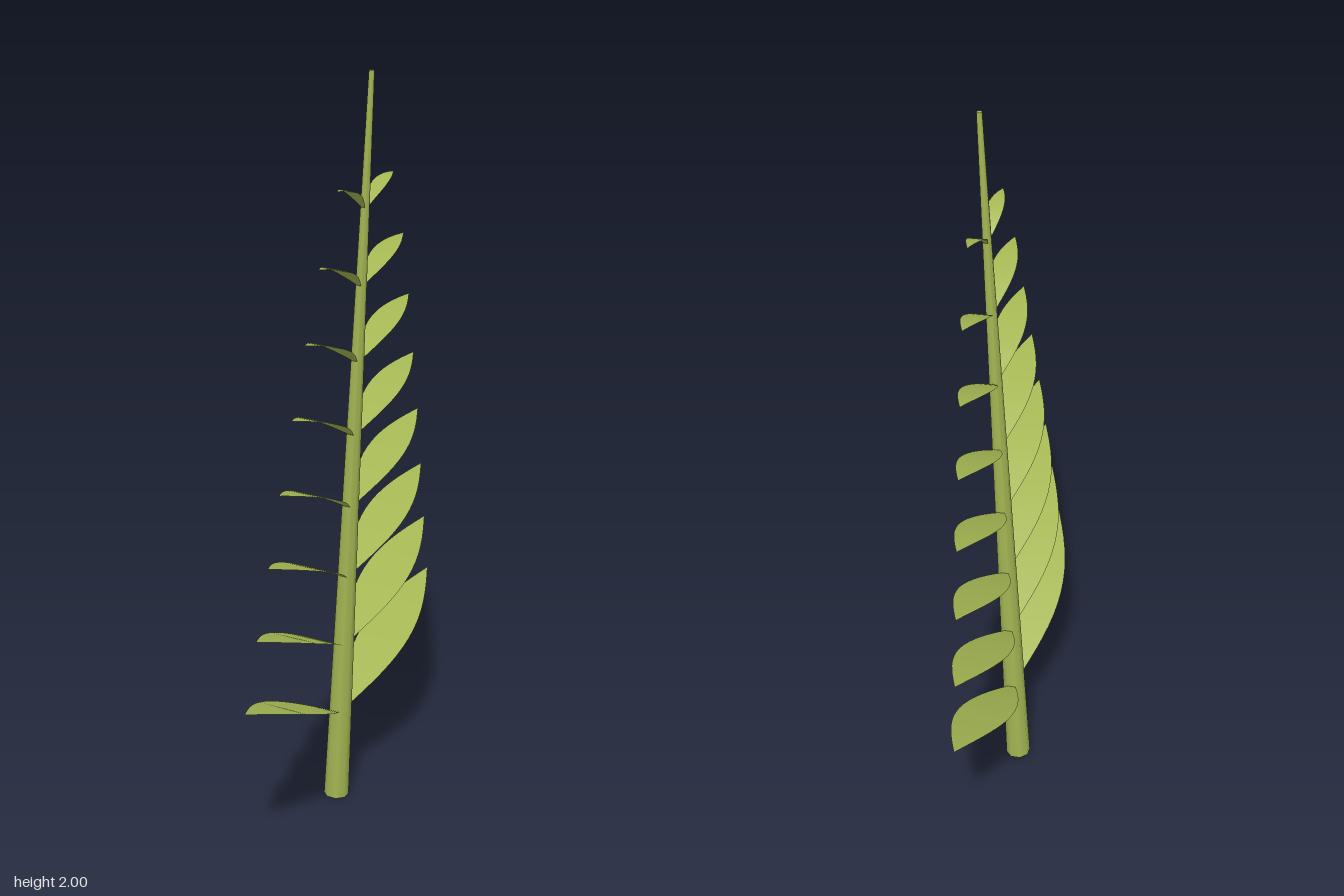
import * as THREE from 'three';

const green = new THREE.MeshStandardMaterial({ color: 0xa3b552, side: THREE.DoubleSide });
green.name = 'leafGreen';

// Flat lens-shaped blade swept along an arching midrib that heads toward +z
function leafGeometry(length, rise, width, bulge) {
  const midrib = new THREE.QuadraticBezierCurve3(
    new THREE.Vector3(0, 0, 0),
    new THREE.Vector3(0, rise / 2 + bulge, length / 2),
    new THREE.Vector3(0, rise, length));
  const steps = 16, pos = [], index = [];
  for (let i = 0; i <= steps; i++) {
    const t = i / steps, p = midrib.getPoint(t);
    const w = (width / 2) * Math.max(Math.sin(Math.PI * t), 0.001);
    pos.push(-w, p.y, p.z, w, p.y, p.z);
    if (i < steps) {
      const a = i * 2;
      index.push(a, a + 2, a + 1, a + 1, a + 2, a + 3);
    }
  }
  const g = new THREE.BufferGeometry();
  g.setAttribute('position', new THREE.Float32BufferAttribute(pos, 3));
  g.setIndex(index);
  g.computeVertexNormals();
  return g;
}

export function createModel() {
  const model = new THREE.Group();
  model.name = 'frond';

  // Everything leans gently toward +x
  const lean = new THREE.Group();
  lean.name = 'leaningFrond';
  lean.position.x = -0.029;
  lean.rotation.z = -0.05;
  model.add(lean);

  // Tapered stem
  const stem = new THREE.Mesh(new THREE.CylinderGeometry(0.007, 0.034, 2, 8), green);
  stem.name = 'stem';
  stem.position.y = 1.001;
  stem.rotation.y = Math.PI / 8;
  lean.add(stem);

  // Pairs of leaves, shrinking and arching more toward the top
  const lengths = [0.552, 0.505, 0.457, 0.41, 0.357, 0.303, 0.245, 0.162];
  lengths.forEach((length, i) => {
    const rise = 0.235 - i * 0.0228;
    const geometry = leafGeometry(length, rise, length * 0.268, 0.034 + i * 0.0015);
    for (const side of [0, 1]) {
      const leaf = new THREE.Mesh(geometry, green);
      leaf.name = (side ? 'backLeaf' : 'frontLeaf') + (i + 1);
      leaf.position.y = 0.25 + i * 0.2;
      leaf.rotation.y = side * Math.PI;
      lean.add(leaf);
    }
  });
  return model;
}
